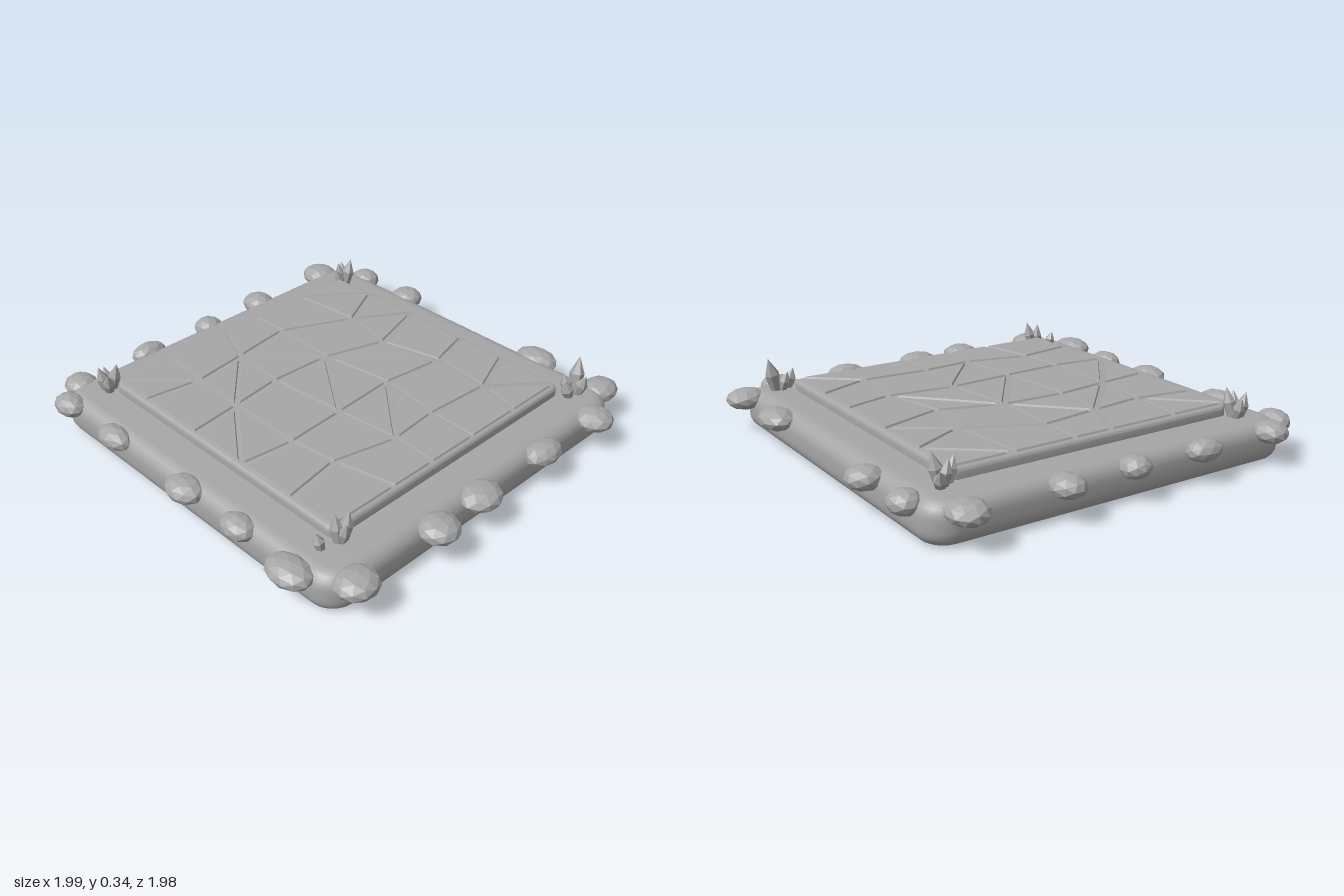
import * as THREE from 'three';
import { toCreasedNormals } from 'three/addons/utils/BufferGeometryUtils.js';

const stone = new THREE.MeshStandardMaterial({ color: 0xa6a6a6 });
stone.name = 'stone grey';

function faceted(geo) {
  const g = geo.index ? geo.toNonIndexed() : geo;
  g.computeVertexNormals();
  return g;
}

function addMesh(parent, name, geo) {
  const mesh = new THREE.Mesh(geo, stone);
  mesh.name = name;
  parent.add(mesh);
  return mesh;
}

// Square slab with rounded corners in plan and rounded top and bottom edges
function roundedSlab(half, corner, y0, y1, bevel) {
  const s = new THREE.Shape();
  const k = half - corner;
  s.absarc(k, k, corner, 0, Math.PI / 2);
  s.absarc(-k, k, corner, Math.PI / 2, Math.PI);
  s.absarc(-k, -k, corner, Math.PI, Math.PI * 1.5);
  s.absarc(k, -k, corner, Math.PI * 1.5, Math.PI * 2);
  const g = new THREE.ExtrudeGeometry(s, {
    depth: y1 - y0 - 2 * bevel, bevelThickness: bevel, bevelSize: bevel,
    bevelOffset: -bevel, bevelSegments: 5, curveSegments: 6,
  });
  g.rotateX(-Math.PI / 2);
  g.translate(0, y0 + bevel, 0);
  return toCreasedNormals(g, 0.6);
}

// Move every edge of a convex polygon inward by d
function inset(poly, d) {
  const n = poly.length;
  const area = poly.reduce((a, p, i) => a + p.cross(poly[(i + 1) % n]), 0);
  const lines = poly.map((p, i) => {
    const dir = poly[(i + 1) % n].clone().sub(p).normalize();
    const normal = new THREE.Vector2(-dir.y, dir.x).multiplyScalar(Math.sign(area) * d);
    return { p: p.clone().add(normal), dir };
  });
  return lines.map((b, i) => {
    const a = lines[(i + n - 1) % n];
    const t = b.p.clone().sub(a.p).cross(b.dir) / a.dir.cross(b.dir);
    return a.p.clone().addScaledVector(a.dir, t);
  });
}

// Paving stone with sloping sides; corners run clockwise as seen from above
function tileGeometry(poly, y0, y1) {
  const low = inset(poly, 0.009), high = inset(poly, 0.015);
  const pos = [];
  const put = (p, y) => pos.push(p.x, y, p.y);
  for (let i = 0; i < poly.length; i++) {
    const j = (i + 1) % poly.length;
    put(low[i], y0); put(high[i], y1); put(low[j], y0);
    put(low[j], y0); put(high[i], y1); put(high[j], y1);
    if (i > 0 && j > 0) { put(high[0], y1); put(high[j], y1); put(high[i], y1); }
  }
  const g = new THREE.BufferGeometry();
  g.setAttribute('position', new THREE.Float32BufferAttribute(pos, 3));
  g.computeVertexNormals();
  return g;
}

// Grid points of the cracked paving
const gridX = [
  [-0.69, -0.46, -0.18, 0.14, 0.38, 0.69], [-0.69, -0.34, -0.09, 0.2, 0.48, 0.69],
  [-0.69, -0.495, -0.18, 0.16, 0.46, 0.69], [-0.69, -0.46, -0.195, 0.18, 0.48, 0.69],
  [-0.69, -0.43, -0.165, 0.195, 0.41, 0.69], [-0.69, -0.475, -0.14, 0.165, 0.455, 0.69],
];
const gridZ = [
  [-0.69, -0.69, -0.69, -0.69, -0.69, -0.69], [-0.4, -0.44, -0.39, -0.465, -0.44, -0.39],
  [-0.11, -0.12, -0.11, -0.16, -0.12, -0.12], [0.065, 0.165, 0.19, 0.155, 0.12, 0.13],
  [0.4, 0.42, 0.44, 0.44, 0.415, 0.35], [0.69, 0.69, 0.69, 0.69, 0.69, 0.69],
];
// Cells cut in two: '/' or '\' as seen from above
const cracks = ['//  /', '  /  ', ' /\\\\ ', ' \\   ', '/ \\  '];

// Edge rocks: x, z, half width, half depth
const rocks = [
  [-0.7, -0.89, 0.075, 0.07], [-0.41, -0.9, 0.08, 0.08], [0.425, -0.9, 0.108, 0.08], [0.78, -0.9, 0.08, 0.095],
  [-0.9, -0.75, 0.097, 0.085], [-0.9, -0.315, 0.085, 0.075], [-0.89, 0.02, 0.07, 0.07],
  [-0.9, 0.375, 0.06, 0.09], [-0.89, 0.76, 0.085, 0.075],
  [0.895, -0.695, 0.09, 0.085], [0.89, -0.34, 0.07, 0.1], [0.89, 0.07, 0.09, 0.1],
  [0.905, 0.335, 0.09, 0.09], [0.895, 0.77, 0.09, 0.095],
  [-0.79, 0.885, 0.085, 0.065], [-0.45, 0.885, 0.097, 0.06], [0.035, 0.885, 0.097, 0.075],
  [0.36, 0.88, 0.085, 0.065], [0.68, 0.905, 0.11, 0.08],
];

// Corner crystals: base x, base z, tip x, tip y, tip z, radius
const crystals = [
  [-0.72, -0.75, -0.775, 0.26, -0.785, 0.027], [-0.7, -0.74, -0.69, 0.31, -0.77, 0.03],
  [-0.7, -0.71, -0.685, 0.28, -0.67, 0.028], [-0.72, -0.74, -0.73, 0.29, -0.72, 0.026],
  [0.73, -0.77, 0.715, 0.335, -0.81, 0.034], [0.75, -0.76, 0.785, 0.28, -0.77, 0.028],
  [0.74, -0.72, 0.74, 0.27, -0.68, 0.03], [0.72, -0.75, 0.69, 0.27, -0.73, 0.026],
  [-0.74, 0.7, -0.78, 0.27, 0.7, 0.026], [-0.73, 0.7, -0.7, 0.31, 0.68, 0.028],
  [-0.74, 0.72, -0.76, 0.29, 0.74, 0.028], [-0.72, 0.72, -0.68, 0.28, 0.745, 0.027],
  [0.72, 0.67, 0.725, 0.31, 0.64, 0.028], [0.715, 0.69, 0.7, 0.3, 0.69, 0.027],
  [0.7, 0.76, 0.685, 0.25, 0.775, 0.025], [0.72, 0.68, 0.755, 0.28, 0.68, 0.024],
];

export function createModel() {
  const model = new THREE.Group();
  model.name = 'stonePlatform';

  addMesh(model, 'base', roundedSlab(0.885, 0.12, 0, 0.18, 0.065));
  addMesh(model, 'raisedSlab', roundedSlab(0.7, 0.04, 0.15, 0.226, 0.02));

  // Paving stones, whole or split along a diagonal
  const paving = new THREE.Group();
  paving.name = 'paving';
  model.add(paving);
  const point = (r, c) => new THREE.Vector2(gridX[r][c], gridZ[r][c]);
  cracks.forEach((row, r) => {
    for (let c = 0; c < 5; c++) {
      const [a, b, d, e] = [point(r, c), point(r, c + 1), point(r + 1, c + 1), point(r + 1, c)];
      let polys = [[a, b, d, e]];
      if (row[c] === '/') polys = [[a, b, e], [b, d, e]];
      if (row[c] === '\\') polys = [[a, b, d], [a, d, e]];
      polys.forEach((p) => addMesh(paving, 'pavingStone', tileGeometry(p, 0.222, 0.234)));
    }
  });

  // Flattened rocks set into the rim
  const rim = new THREE.Group();
  rim.name = 'edgeRocks';
  model.add(rim);
  rocks.forEach(([x, z, w, d], i) => {
    const g = new THREE.IcosahedronGeometry(1, 1);
    g.rotateY(i * 1.3);
    g.scale(w, 0.05, d);
    addMesh(rim, 'edgeRock', faceted(g)).position.set(x, 0.147, z);
  });

  // Pointed six-sided crystals leaning outward at each corner
  const clusters = new THREE.Group();
  clusters.name = 'cornerCrystals';
  model.add(clusters);
  const up = new THREE.Vector3(0, 1, 0);
  crystals.forEach(([x, z, tx, ty, tz, r]) => {
    const base = new THREE.Vector3(x, 0.165, z);
    const axis = new THREE.Vector3(tx, ty, tz).sub(base);
    const h = axis.length();
    const profile = [[r * 0.65, 0], [r, h * 0.55], [0, h]].map((p) => new THREE.Vector2(...p));
    const mesh = addMesh(clusters, 'crystal', faceted(new THREE.LatheGeometry(profile, 6)));
    mesh.position.copy(base);
    mesh.quaternion.setFromUnitVectors(up, axis.normalize());
  });

  return model;
}
